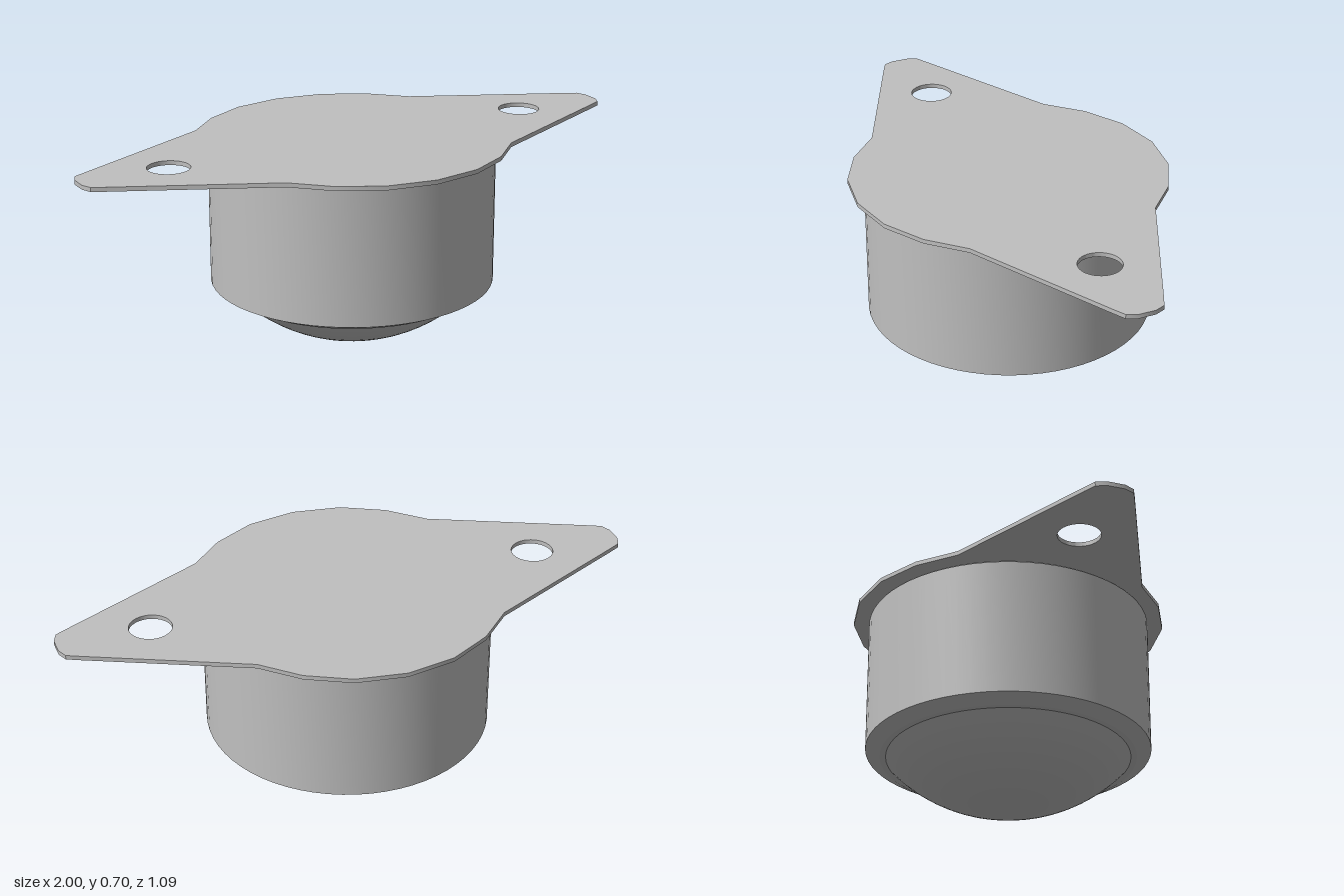
import * as THREE from 'three';
import { toCreasedNormals } from 'three/addons/utils/BufferGeometryUtils.js';

const steel = new THREE.MeshStandardMaterial({ color: 0xc0c0c0 });
steel.name = 'steel grey';

const PLATE_BOTTOM = 0.69, PLATE_TOP = 0.705;

function addPart(group, name, geometry) {
  const mesh = new THREE.Mesh(geometry, steel);
  mesh.name = name;
  group.add(mesh);
}

// Revolved profile, listed from the bottom up
function revolve(points, segments = 64) {
  return new THREE.LatheGeometry(points.map(([r, y]) => new THREE.Vector2(r, y)), segments);
}

// Flange with two pointed ears and a hole in each
function flangeGeometry() {
  const quarter = [[1, 0.03], [0.985, 0.065], [0.945, 0.085], [0.43, 0.33],
    [0.315, 0.44], [0.17, 0.517]];
  const mirrored = quarter.map(([x, z]) => [-x, z]).reverse();
  const half = [...quarter, [0, 0.545], ...mirrored];
  const outline = [...half, ...half.map(([x, z]) => [-x, -z])];
  const shape = new THREE.Shape(outline.map(([x, z]) => new THREE.Vector2(x, z)));
  for (const side of [-1, 1]) {
    const hole = new THREE.Path();
    hole.absarc(side * 0.685, 0, 0.072, 0, Math.PI * 2, true);
    shape.holes.push(hole);
  }
  const geometry = new THREE.ExtrudeGeometry(shape, {
    depth: PLATE_TOP - PLATE_BOTTOM, bevelEnabled: false, curveSegments: 24,
  });
  geometry.rotateX(-Math.PI / 2);
  geometry.translate(0, PLATE_BOTTOM, 0);
  return toCreasedNormals(geometry, 0.5);
}

export function createModel() {
  const group = new THREE.Group();
  group.name = 'ballTransferUnit';

  addPart(group, 'flange', flangeGeometry());

  // Cup with a chamfered lower lip and a small chamfer beneath the flange
  const cup = revolve([[0.41, 0.18], [0.44, 0.18], [0.49, 0.205], [0.49, 0.68], [0.475, PLATE_BOTTOM]]);
  addPart(group, 'housing', toCreasedNormals(cup, 0.4));

  // Exposed cap of the ball, carried slightly up into the cup
  const R = 0.58, cap = [];
  for (let i = 0; i <= 16; i++) {
    const a = (i / 16) * 0.83;
    cap.push([R * Math.sin(a), R * (1 - Math.cos(a))]);
  }
  addPart(group, 'ball', revolve(cap));

  return group;
}
